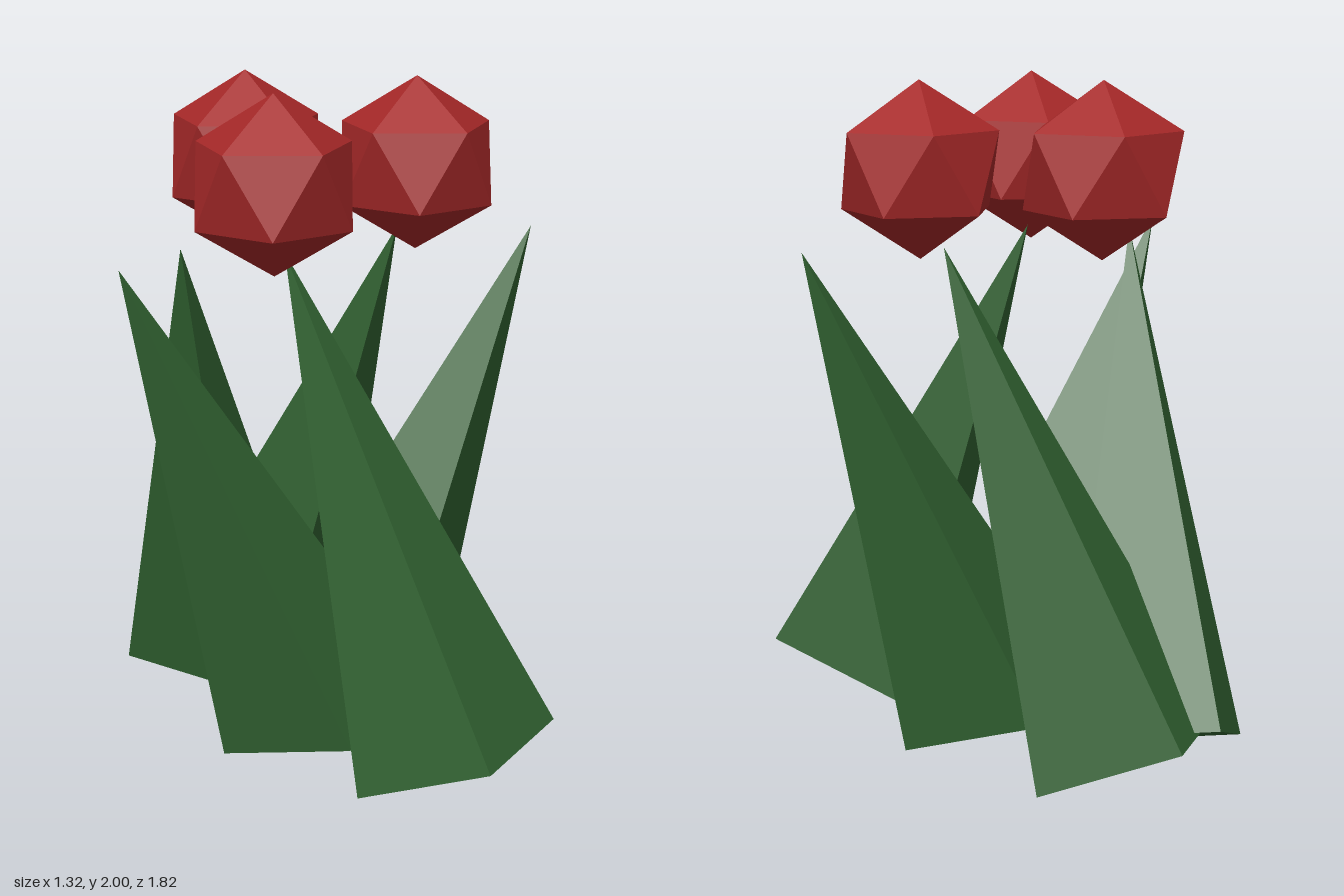
import * as THREE from 'three';

const leafGreen = new THREE.MeshStandardMaterial({ color: 0x316231, flatShading: true });
leafGreen.name = 'leafGreen';
const berryRed = new THREE.MeshStandardMaterial({ color: 0xa52828, flatShading: true });
berryRed.name = 'berryRed';

const LEAF_RADIUS = 0.312, LEAF_HEIGHT = 1.53, BASE_Y = 0.125;

// Leaf base centre (x, z) and how far its tip leans (dx, dz)
const leaves = [
  [0.065, 0.00, 0.595, 0.00],
  [0.20, 0.61, -0.37, -0.445],
  [-0.07, 0.127, -0.59, 0.083],
  [-0.185, -0.54, -0.245, 0.54],
  [-0.043, -0.614, 0.313, 0.504],
];

// Blossom centres (x, z)
const blossoms = [[0.287, 0], [-0.222, 0.233], [-0.149, -0.285]];

export function createModel() {
  const plant = new THREE.Group();
  plant.name = 'plant';

  // Four-sided pointed leaves, pivoting on the base centre
  const leafGeometry = new THREE.ConeGeometry(LEAF_RADIUS, LEAF_HEIGHT, 4);
  leafGeometry.translate(0, LEAF_HEIGHT / 2, 0);
  leaves.forEach(([x, z, dx, dz], i) => {
    const leaf = new THREE.Mesh(leafGeometry, leafGreen);
    leaf.name = `leaf${i + 1}`;
    leaf.position.set(x, BASE_Y, z);
    const dy = Math.sqrt(LEAF_HEIGHT ** 2 - dx * dx - dz * dz);
    leaf.rotation.set(Math.asin(dz / LEAF_HEIGHT), 0, Math.atan2(-dx, dy), 'ZYX');
    plant.add(leaf);
  });

  // Faceted blossoms, each with a corner pointing straight up
  const blossomGeometry = new THREE.IcosahedronGeometry(0.255, 0);
  blossomGeometry.rotateZ(-Math.atan(2 / (1 + Math.sqrt(5))));
  blossoms.forEach(([x, z], i) => {
    const blossom = new THREE.Mesh(blossomGeometry, berryRed);
    blossom.name = `blossom${i + 1}`;
    blossom.position.set(x, 1.745, z);
    plant.add(blossom);
  });

  return plant;
}
